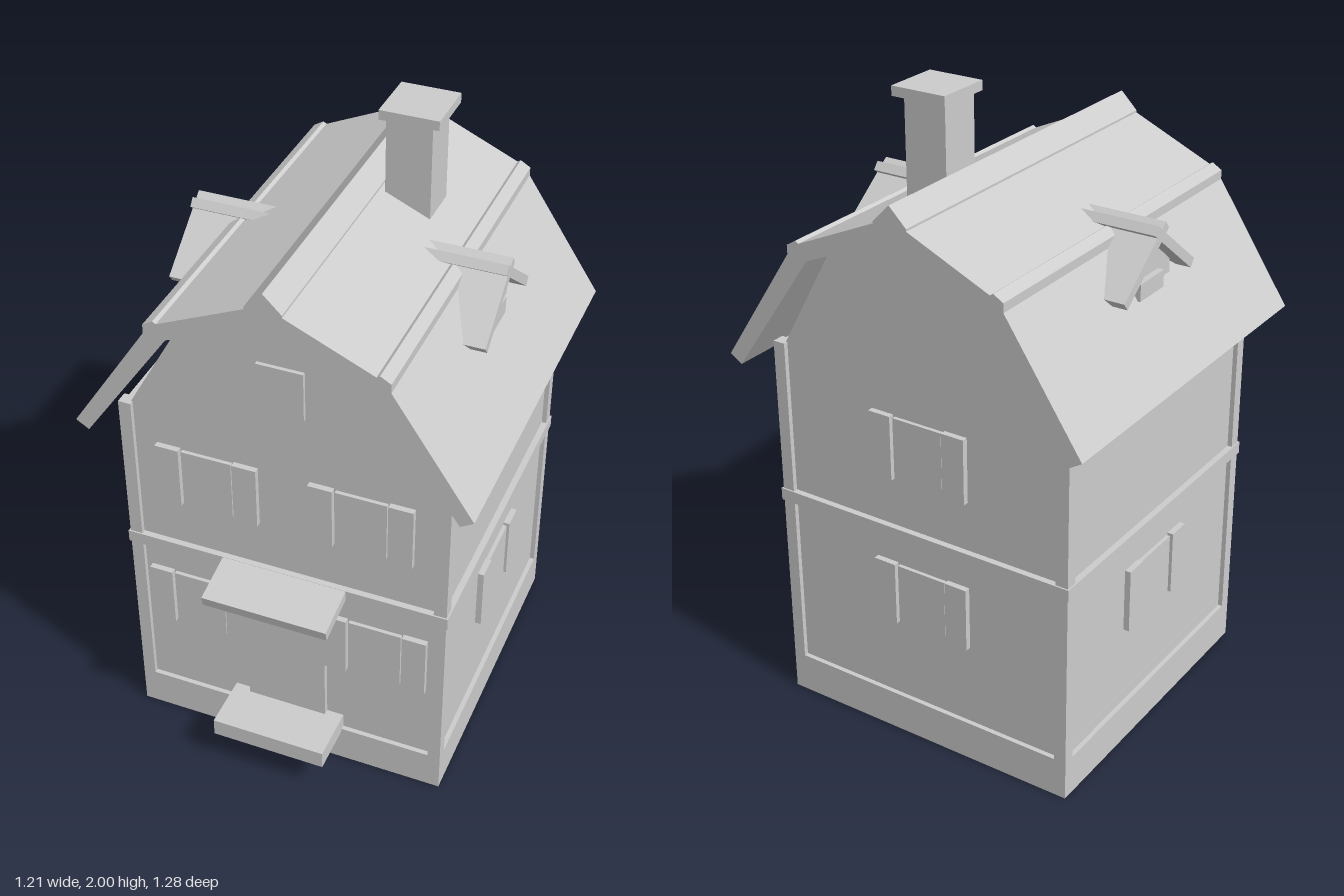
import * as THREE from 'three';

export function createModel() {
  const house = new THREE.Group();
  house.name = 'house';
  const plaster = new THREE.MeshStandardMaterial({ color: 0xcccccc });
  plaster.name = 'plainGrey';

  const add = (name, geometry, parent = house) => {
    const mesh = new THREE.Mesh(geometry, plaster);
    mesh.name = name;
    parent.add(mesh);
    return mesh;
  };
  // Box given by its low and high limits on each axis
  const box = (name, x0, x1, y0, y1, z0, z1, parent = house) => {
    const mesh = add(name, new THREE.BoxGeometry(x1 - x0, y1 - y0, z1 - z0), parent);
    mesh.position.set((x0 + x1) / 2, (y0 + y1) / 2, (z0 + z1) / 2);
    return mesh;
  };
  // Half profile (x >= 0) mirrored and extruded along z
  const mirrorExtrude = (half, z0, z1) => {
    const other = half.filter(p => p[0] > 0).map(([x, y]) => [-x, y]).reverse();
    const shape = new THREE.Shape([...half, ...other].map(p => new THREE.Vector2(...p)));
    return new THREE.ExtrudeGeometry(shape, { depth: z1 - z0, bevelEnabled: false }).translate(0, 0, z0);
  };

  const X = 0.515, Z0 = -0.55, Z1 = 0.48, ZC = -0.035;

  // Recessed walls with the gable ends
  add('walls', mirrorExtrude(
    [[0.5, 0.1], [0.5, 1.24], [0.48, 1.24], [0.29, 1.578], [0, 1.705], ], Z0 + 0.015, Z1 - 0.015));
  box('plinth', -X, X, 0, 0.13, Z0, Z1);
  box('floorBelt', -X - 0.005, X + 0.005, 0.7, 0.74, Z0 - 0.005, Z1 + 0.005);
  for (const s of [-1, 1])
    for (const z of [Z0, Z1 - 0.04])
      box('cornerPost', s * (X - 0.02) - 0.02, s * (X - 0.02) + 0.02, 0.13, 1.24, z, z + 0.04);

  // Gambrel roof shell with its ridge cap and side trims
  const roofOuter = [[0, 1.8], [0.055, 1.745], [0.055, 1.738], [0.32, 1.62], [0.33, 1.627],
    [0.362, 1.608], [0.362, 1.58], [0.607, 1.21], [0.567, 1.185]];
  const roofInner = [[0.295, 1.573], [0, 1.7]];
  const right = [...roofOuter, ...roofInner.slice(0, 1)];
  const left = right.slice(1).map(([x, y]) => [-x, y]).reverse();
  const roofShape = new THREE.Shape(
    [...right, roofInner[1], ...left].map(p => new THREE.Vector2(...p)));
  add('roof', new THREE.ExtrudeGeometry(roofShape, { depth: 1.205, bevelEnabled: false }).translate(0, 0, -0.637));

  // Chimney
  box('chimney', 0.07, 0.21, 1.6, 1.97, -0.28, -0.14);
  box('chimneyCap', 0.053, 0.235, 1.97, 2, -0.305, -0.122);

  // Window facing +z in its own frame, with shutters on chosen sides
  const windowUnit = (name, y0, w, sides = [-1, 1], h = 0.21) => {
    const unit = new THREE.Group();
    unit.name = name;
    box('pane', -w, w, y0 + 0.005, y0 + h - 0.005, -0.01, 0.012, unit);
    for (const s of sides) {
      const c = s * (w + 0.044);
      box('shutter', c - 0.038, c + 0.038, y0, y0 + h, -0.01, 0.019, unit);
    }
    house.add(unit);
    return unit;
  };
  const front = Z1 - 0.015;
  for (const s of [-1, 1]) {
    windowUnit('upperWindow', 0.9, 0.08).position.set(s * 0.243, 0, front);
    windowUnit('lowerWindow', 0.4, 0.084).position.set(s * 0.29, 0, front);
    const side = windowUnit('sideWindow', 0.4, 0.085);
    side.position.set(s * 0.5, 0, ZC);
    side.rotation.y = s * Math.PI / 2;
  }
  windowUnit('atticWindow', 1.33, 0.072, [], 0.17).position.z = front;
  for (const y of [0.4, 0.9]) {
    const back = windowUnit('backWindow', y, 0.085);
    back.position.z = Z0 + 0.015;
    back.rotation.y = Math.PI;
  }

  // Entrance
  box('door', -0.13, 0.13, 0.18, 0.635, 0.45, front + 0.019);
  box('doorStep', -0.185, 0.185, 0.12, 0.18, 0.45, 0.64);
  const awning = add('awning', new THREE.BoxGeometry(0.4, 0.035, 0.17));
  awning.position.set(0, 0.707, 0.552);
  awning.rotation.x = 0.21;

  // Dormers: pentagon wall, crossing roof boards and a small window
  for (const s of [-1, 1]) {
    const dormer = new THREE.Group();
    dormer.name = 'dormer';
    const wall = add('dormerWall', mirrorExtrude(
      [[0.135, 1.45], [0.135, 1.495], [0, 1.61]], 0.3, 0.445), dormer);
    wall.name = 'dormerWall';
    box('dormerWindow', -0.066, 0.066, 1.437, 1.49, 0.38, 0.465, dormer);
    for (const t of [-1, 1]) {
      const board = add('dormerRoofBoard', new THREE.BoxGeometry(0.28, 0.03, 0.29), dormer);
      // Length runs along local z, width follows the slope
      board.geometry = new THREE.BoxGeometry(0.28, 0.03, 0.29);
      board.rotation.z = -t * 0.66;
      board.position.set(t * 0.08, 1.559, 0.345);
    }
    dormer.rotation.y = s * Math.PI / 2;
    dormer.position.z = ZC;
    house.add(dormer);
  }

  return house;
}
